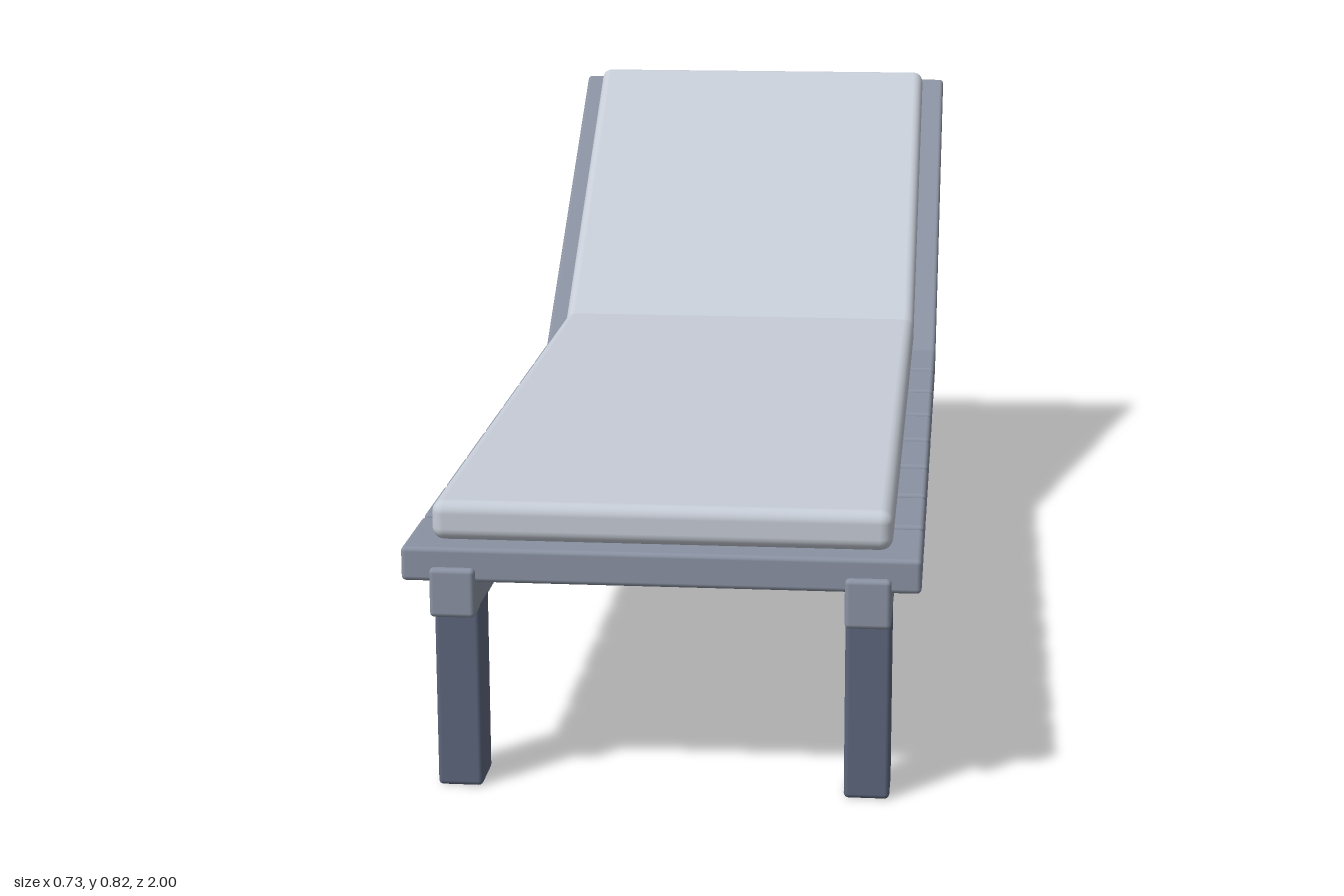
import * as THREE from 'three';
import { RoundedBoxGeometry } from 'three/addons/geometries/RoundedBoxGeometry.js';

const TILT = 0.62;            // backrest angle
const HALF_WIDTH = 0.367;
const LEG_X = 0.293;

const frameMat = new THREE.MeshStandardMaterial({ color: 0x8a92a2 });
const legMat = new THREE.MeshStandardMaterial({ color: 0x5c667c });
const cushionMat = new THREE.MeshStandardMaterial({ color: 0xc6ccd6 });

// Softly bevelled box given by its size and centre
function block(name, size, centre, material, radius = 0.007) {
  const mesh = new THREE.Mesh(new RoundedBoxGeometry(...size, 2, radius), material);
  mesh.position.set(...centre);
  mesh.name = name;
  return mesh;
}

// Cushion half running along +z from the fold; its near end is cut to a mitre
function cushionHalf(name, length) {
  const geo = new RoundedBoxGeometry(0.652, 0.058, length, 3, 0.018);
  geo.translate(0, 0, length / 2);
  const p = geo.attributes.position;
  const slope = Math.tan(TILT / 2);
  for (let i = 0; i < p.count; i++) {
    if (p.getZ(i) < length / 2) p.setZ(i, slope * p.getY(i));
  }
  const mesh = new THREE.Mesh(geo, cushionMat);
  mesh.name = name;
  return mesh;
}

export function createModel() {
  const lounger = new THREE.Group();
  lounger.name = 'sunLounger';

  // Side rails and legs
  for (const [side, x] of [['left', LEG_X], ['right', -LEG_X]]) {
    lounger.add(block(side + 'Rail', [0.065, 0.072, 1.39], [x, 0.301, 0.305], frameMat));
    lounger.add(block(side + 'FrontLeg', [0.065, 0.28, 0.078], [x, 0.14, 0.925], legMat));
    lounger.add(block(side + 'BackLeg', [0.065, 0.28, 0.078], [x, 0.14, -0.265], legMat));
  }

  // Seat slats
  for (let i = 0; i < 8; i++) {
    lounger.add(block('slat' + (i + 1), [HALF_WIDTH * 2, 0.05, 0.157], [0, 0.34, 0.911 - i * 0.1708], frameMat));
  }

  // Seat cushion, starting at the fold
  const fold = new THREE.Vector3(0, 0.399, -0.346);
  const seat = cushionHalf('seatCushion', 1.321);
  seat.position.copy(fold);
  lounger.add(seat);

  // Tilted backrest: cushion, board and two braces; local +z runs up the back
  const backrest = new THREE.Group();
  backrest.name = 'backrest';
  backrest.position.copy(fold);
  backrest.rotation.set(TILT, Math.PI, 0);
  backrest.add(cushionHalf('backCushion', 0.7));
  backrest.add(block('backBoard', [HALF_WIDTH * 2, 0.05, 0.759], [0, -0.062, 0.3655], frameMat));
  for (const x of [-LEG_X, LEG_X]) {
    const brace = block('backBrace', [0.055, 0.035, 0.3], [x, -0.079, 0.344], frameMat, 0.005);
    brace.rotation.x = 0.115;
    backrest.add(brace);
  }
  lounger.add(backrest);

  return lounger;
}
